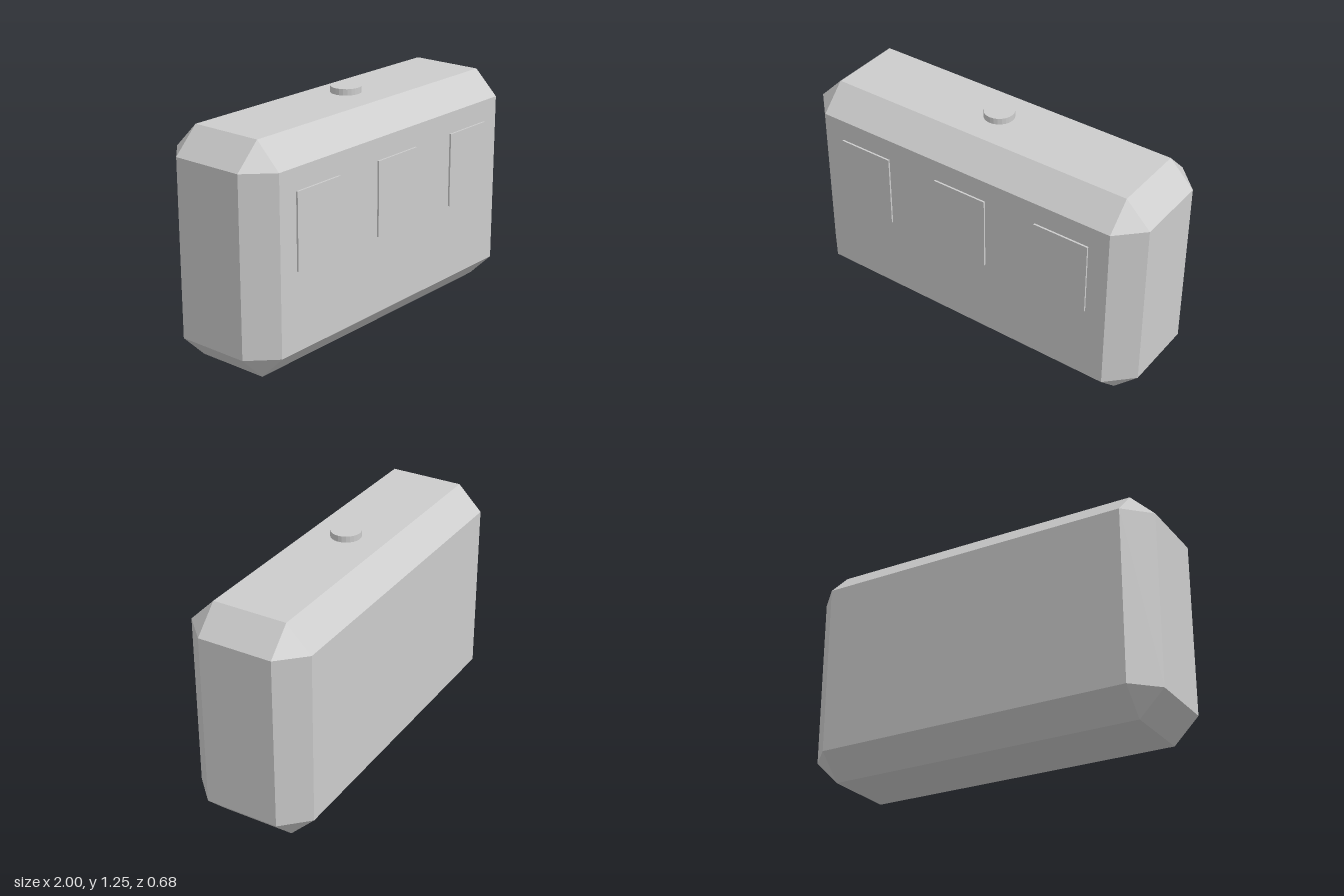
import * as THREE from 'three';
import { ConvexGeometry } from 'three/addons/geometries/ConvexGeometry.js';

// Box whose edges and corners are all cut at 45 degrees
function chamferedBox(hx, hy, hz, c) {
  const points = [];
  for (const sx of [-1, 1]) for (const sy of [-1, 1]) for (const sz of [-1, 1]) {
    points.push(
      new THREE.Vector3(sx * hx, sy * (hy - c), sz * (hz - c)),
      new THREE.Vector3(sx * (hx - c), sy * hy, sz * (hz - c)),
      new THREE.Vector3(sx * (hx - c), sy * (hy - c), sz * hz)
    );
  }
  return new ConvexGeometry(points);
}

export function createModel() {
  const model = new THREE.Group();
  model.name = 'chamferedCabin';
  const grey = new THREE.MeshStandardMaterial({ color: 0xcccccc, flatShading: true });
  grey.name = 'light grey';

  const add = (name, geometry, x, y, z) => {
    const mesh = new THREE.Mesh(geometry, grey);
    mesh.name = name;
    mesh.position.set(x, y, z);
    model.add(mesh);
  };

  const midZ = -0.005;

  // Main body
  add('body', chamferedBox(1, 0.6, 0.3333, 0.1333), 0, 0.6, midZ);

  // Three raised panels on the front
  const panel = new THREE.BoxGeometry(0.307, 0.4, 0.0099);
  ['rightWindow', 'middleWindow', 'leftWindow'].forEach((name, i) =>
    add(name, panel, (i - 1) * 0.6, 0.75, 0.3333));

  // Round cap hovering just above the roof
  add('roofCap', new THREE.CylinderGeometry(0.08, 0.08, 0.033, 24), 0, 1.23, midZ);

  return model;
}
